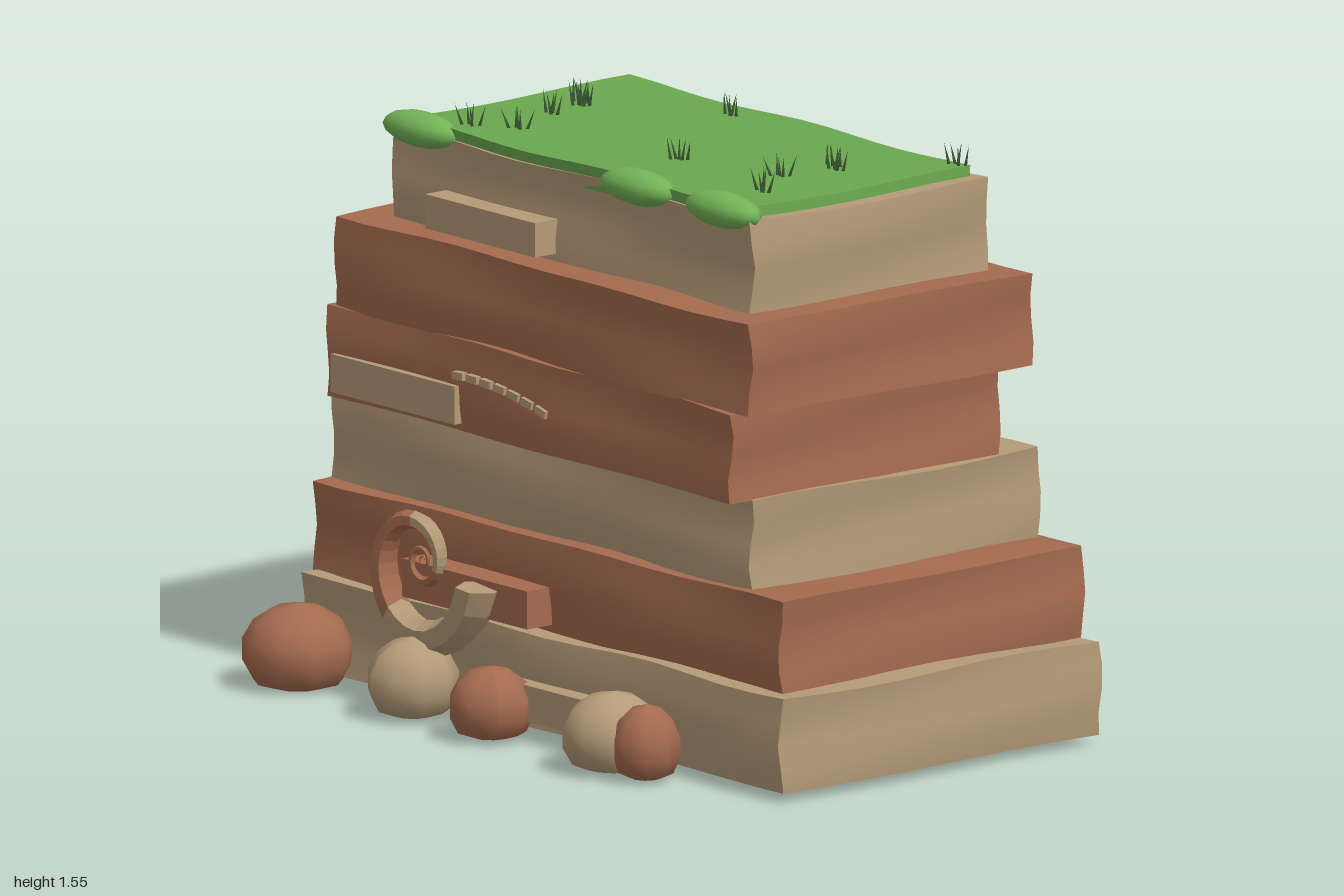
import * as THREE from 'three';

const mat = (name, color, side = THREE.FrontSide) => {
  const m = new THREE.MeshStandardMaterial({ color, side });
  m.name = name;
  return m;
};

// Box given by its min/max ranges, with walls pressed inwards in gentle waves
function stratum([x0, x1], [y0, y1], [z0, z1], seed, amp = 0.03) {
  const w = x1 - x0, h = y1 - y0, d = z1 - z0;
  const g = new THREE.BoxGeometry(w, h, d, 14, 4, 8);
  const p = g.attributes.position;
  const wave = (u, y, s) =>
    amp * (0.5 + 0.28 * Math.sin(u * 6.5 + s * 2.1) + 0.22 * Math.sin(y * 26 + u * 2 + s * 3.7));
  for (let i = 0; i < p.count; i++) {
    const x = p.getX(i), y = p.getY(i), z = p.getZ(i);
    const sx = Math.abs(x) > w / 2 - 1e-4 ? Math.sign(x) : 0;
    const sz = Math.abs(z) > d / 2 - 1e-4 ? Math.sign(z) : 0;
    const lift = y > h / 2 - 1e-4 ? 0.004 * Math.sin(x * 9 + z * 7 + seed) : 0;
    p.setXYZ(i, x - sx * wave(z, y, seed + sx), y + lift, z - sz * wave(x, y, seed + 2 * sz));
  }
  g.computeVertexNormals();
  g.translate((x0 + x1) / 2, (y0 + y1) / 2, (z0 + z1) / 2);
  return g;
}

// Tube of hexagonal section along a shrinking spiral, between two angles
function spiralPiece(a0, a1, steps) {
  const pos = [], index = [], sides = 6;
  for (let i = 0; i <= steps; i++) {
    const a = a0 + (a1 - a0) * i / steps;
    const r = 0.255 * Math.exp(-0.2 * a), t = r * 0.23;
    for (let j = 0; j < sides; j++) {
      const b = (j / sides) * Math.PI * 2;
      const q = r + t * Math.cos(b);
      pos.push(q * Math.cos(-a - 0.1), q * Math.sin(-a - 0.1), t * Math.sin(b) * 1.1 + r * 0.1);
      if (i < steps) {
        const k = i * sides + j, n = i * sides + (j + 1) % sides;
        index.push(k, n, k + sides, n, n + sides, k + sides);
      }
    }
  }
  // end caps
  for (let j = 1; j < sides - 1; j++) {
    const e = steps * sides;
    index.push(0, j + 1, j, e, e + j, e + j + 1);
  }
  const g = new THREE.BufferGeometry();
  g.setAttribute('position', new THREE.Float32BufferAttribute(pos, 3));
  g.setIndex(index);
  const flat = g.toNonIndexed();
  flat.computeVertexNormals();
  return flat;
}

export function createModel() {
  const root = new THREE.Group();
  root.name = 'layeredCliff';
  const sand = mat('sandstone', 0xb59b78);
  const clay = mat('redClay', 0xa56b4f);
  const sandShell = mat('sandstoneFossil', 0xb59b78, THREE.DoubleSide);
  const clayShell = mat('redClayFossil', 0xa56b4f, THREE.DoubleSide);
  const grass = mat('grass', 0x6ba84f);
  const bushGreen = mat('bushGreen', 0x74b557);
  const bladeGreen = mat('bladeGreen', 0x3d5a35);
  const add = (name, geo, m, parent = root) => {
    const mesh = new THREE.Mesh(geo, m);
    mesh.name = name;
    parent.add(mesh);
    return mesh;
  };

  // Rock strata from bottom to top
  [
    [[-0.95, 1.0], [0.025, 0.272], [-0.65, 0.435], sand],
    [[-0.96, 0.925], [0.27, 0.508], [-0.66, 0.39], clay],
    [[-0.945, 0.77], [0.505, 0.742], [-0.64, 0.345], sand],
    [[-0.9, 0.75], [0.74, 0.978], [-0.53, 0.4], clay],
    [[-0.87, 0.8], [0.975, 1.217], [-0.585, 0.39], clay],
    [[-0.785, 0.71], [1.214, 1.457], [-0.525, 0.285], sand],
  ].forEach(([x, y, z, m], i) => add('stratum' + (i + 1), stratum(x, y, z, i * 1.9 + 0.6), m));

  // Turf on the top
  add('turf', stratum([-0.715, 0.66], [1.425, 1.485], [-0.49, 0.274], 4, 0.012), grass);

  // Ledges sticking out of the front: x range, y range, z range
  [
    [-0.54, -0.1, 1.235, 1.325, 0.2, 0.345, sand],
    [-0.845, -0.35, 0.76, 0.86, 0.3, 0.405, sand],
    [-0.21, 0.3, 0.055, 0.15, 0.34, 0.475, sand],
    [-0.5, 0, 0.29, 0.39, 0.3, 0.455, clay],
  ].forEach(([x0, x1, y0, y1, z0, z1, m]) => {
    const g = new THREE.BoxGeometry(x1 - x0, y1 - y0, z1 - z0);
    g.translate((x0 + x1) / 2, (y0 + y1) / 2, (z0 + z1) / 2);
    add('ledge', g, m);
  });

  // Curved row of small fossil bones
  const bones = new THREE.Group();
  bones.name = 'fossilSpine';
  root.add(bones);
  for (let i = 0; i < 7; i++) {
    const b = add('vertebra', new THREE.BoxGeometry(0.042, 0.02, 0.05), sand, bones);
    const x = -0.34 + i * 0.055;
    b.position.set(x, 0.89 - 0.45 * (x + 0.3) ** 2, 0.38);
    b.rotation.z = -0.9 * (x + 0.3);
  }

  // Spiral shell fossil in alternating bands
  const shell = new THREE.Group();
  shell.name = 'spiralFossil';
  shell.position.set(-0.42, 0.4, 0.45);
  root.add(shell);
  [
    [0, 0.64, 8, sandShell],
    [0.64, 1.42, 9, clayShell],
    [1.42, 2.05, 8, sandShell],
    [2.05, 6, 44, clayShell],
  ].forEach(([a, b, n, m]) => add('shellBand', spiralPiece(a * Math.PI, b * Math.PI, n), m, shell));

  // Flat-bottomed boulders: x, z, radius, top height
  [
    [-0.85, 0.51, 0.15, 0.22, clay],
    [-0.385, 0.515, 0.122, 0.205, sand],
    [-0.065, 0.52, 0.115, 0.185, clay],
    [0.42, 0.52, 0.135, 0.203, sand],
    [0.555, 0.52, 0.092, 0.193, clay],
  ].forEach(([x, z, r, top, m], i) => {
    const g = new THREE.SphereGeometry(1, 9, 7);
    const p = g.attributes.position;
    for (let k = 0; k < p.count; k++) p.setY(k, Math.max(p.getY(k), -0.75));
    const h = top / 1.75;
    g.scale(r, h, r);
    g.rotateY(i * 1.3);
    g.computeVertexNormals();
    add('boulder', g, m).position.set(x, h * 0.75 + (i ? 0.008 : 0), z);
  });

  // Flattened bushes along the front edge
  for (const x of [-0.65, 0.22, 0.56]) {
    const b = add('bush', new THREE.SphereGeometry(1, 12, 8), bushGreen);
    b.scale.set(0.14, 0.046, 0.057);
    b.position.set(x, 1.465, 0.265);
  }

  // Tufts of thin grass blades
  const blade = new THREE.ConeGeometry(0.006, 0.066, 3);
  blade.translate(0, 0.033, 0);
  [
    [-0.57, -0.2], [-0.54, -0.175], [-0.505, -0.05], [-0.42, 0.135], [-0.525, 0.205], [-0.19, -0.385],
    [0.11, 0.04], [0.43, -0.21], [0.47, -0.185], [0.43, -0.03], [0.52, 0.1], [0.625, -0.46],
  ].forEach(([x, z], i) => {
    const tuft = new THREE.Group();
    tuft.name = 'grassTuft';
    tuft.position.set(x, 1.48, z);
    tuft.rotation.y = 0.4 * Math.sin(i * 2.3);
    root.add(tuft);
    for (let k = -2; k <= 2; k++) {
      const b = add('blade', blade, bladeGreen, tuft);
      b.position.set(k * 0.01, 0, 0.008 * Math.sin(k * 2.5));
      b.rotation.set(0.25 * Math.sin(k * 4 + i), 0, -0.14 * k);
    }
  });

  return root;
}
